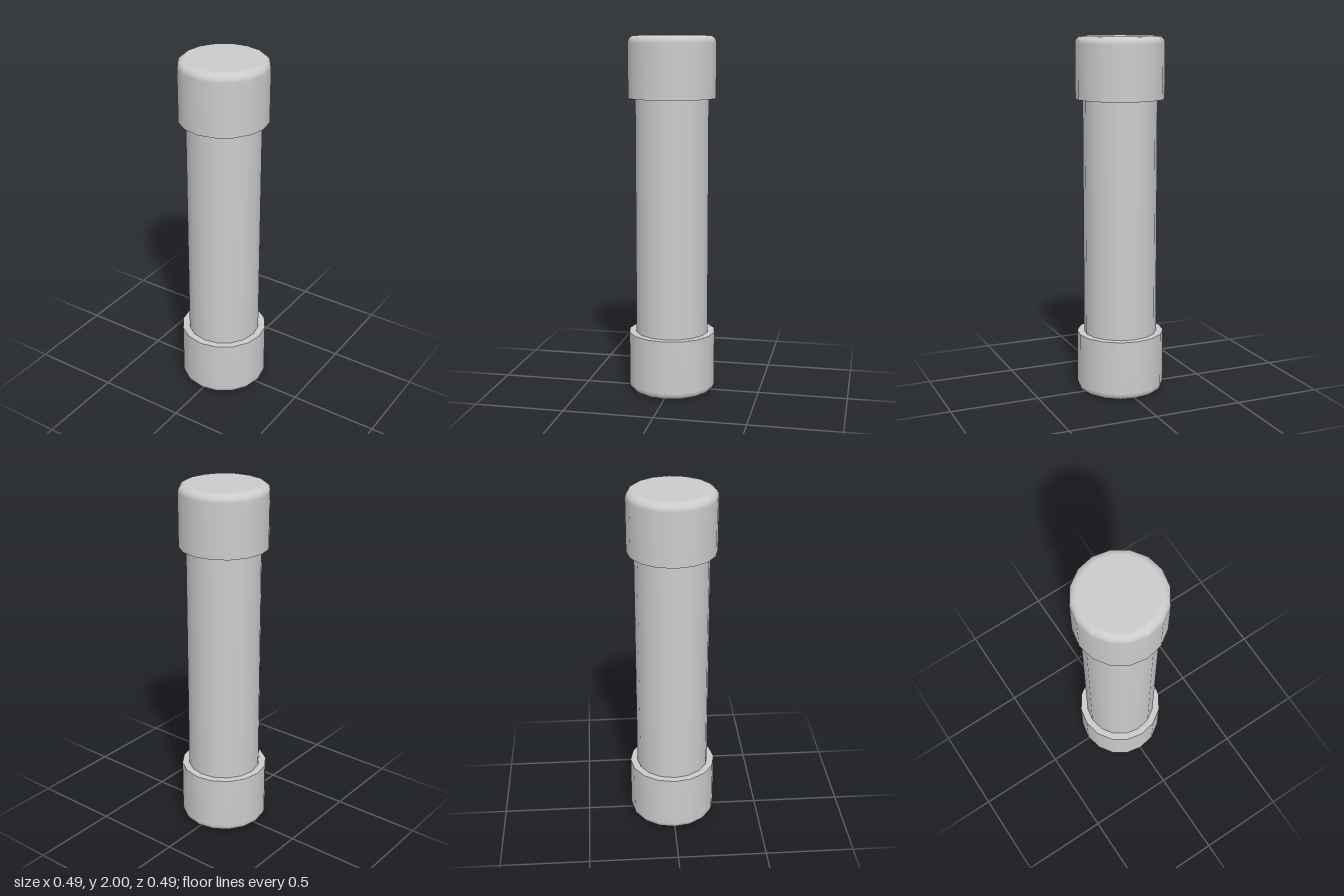
import * as THREE from 'three';
import { mergeGeometries } from 'three/addons/utils/BufferGeometryUtils.js';

const SIDES = 16;
const CAP_R = 0.245, CAP_H = 0.34, BEVEL = 0.04, TUBE_R = 0.205;

// End cap: straight wall with a rounded outer edge, flat end and flat inner rim (outer end at +y)
function capGeometry() {
  const profile = [new THREE.Vector2(CAP_R, 1 - CAP_H)];
  const steps = 4;
  for (let i = 0; i <= steps; i++) {
    const a = (i / steps) * Math.PI / 2;
    profile.push(new THREE.Vector2(
      CAP_R - BEVEL + BEVEL * Math.cos(a),
      1 - BEVEL + BEVEL * Math.sin(a)));
  }
  const wall = new THREE.LatheGeometry(profile, SIDES);
  const end = new THREE.CircleGeometry(CAP_R - BEVEL, SIDES).rotateX(-Math.PI / 2).translate(0, 1, 0);
  const rim = new THREE.RingGeometry(TUBE_R - 0.01, CAP_R, SIDES).rotateX(Math.PI / 2).translate(0, 1 - CAP_H, 0);
  return mergeGeometries([wall, end, rim]);
}

export function createModel() {
  const model = new THREE.Group();
  model.name = 'cappedTube';
  const material = new THREE.MeshStandardMaterial({ color: 0xcccccc });

  function add(name, geometry) {
    const mesh = new THREE.Mesh(geometry, material);
    mesh.name = name;
    mesh.position.y = 1;
    model.add(mesh);
    return mesh;
  }

  // Central tube, running just inside both caps
  add('tube', new THREE.CylinderGeometry(TUBE_R, TUBE_R, 2 * (1 - CAP_H) + 0.04, SIDES, 1, true));

  // Matching caps, the lower one turned over
  const cap = capGeometry();
  add('topCap', cap);
  add('bottomCap', cap).rotation.x = Math.PI;

  return model;
}
